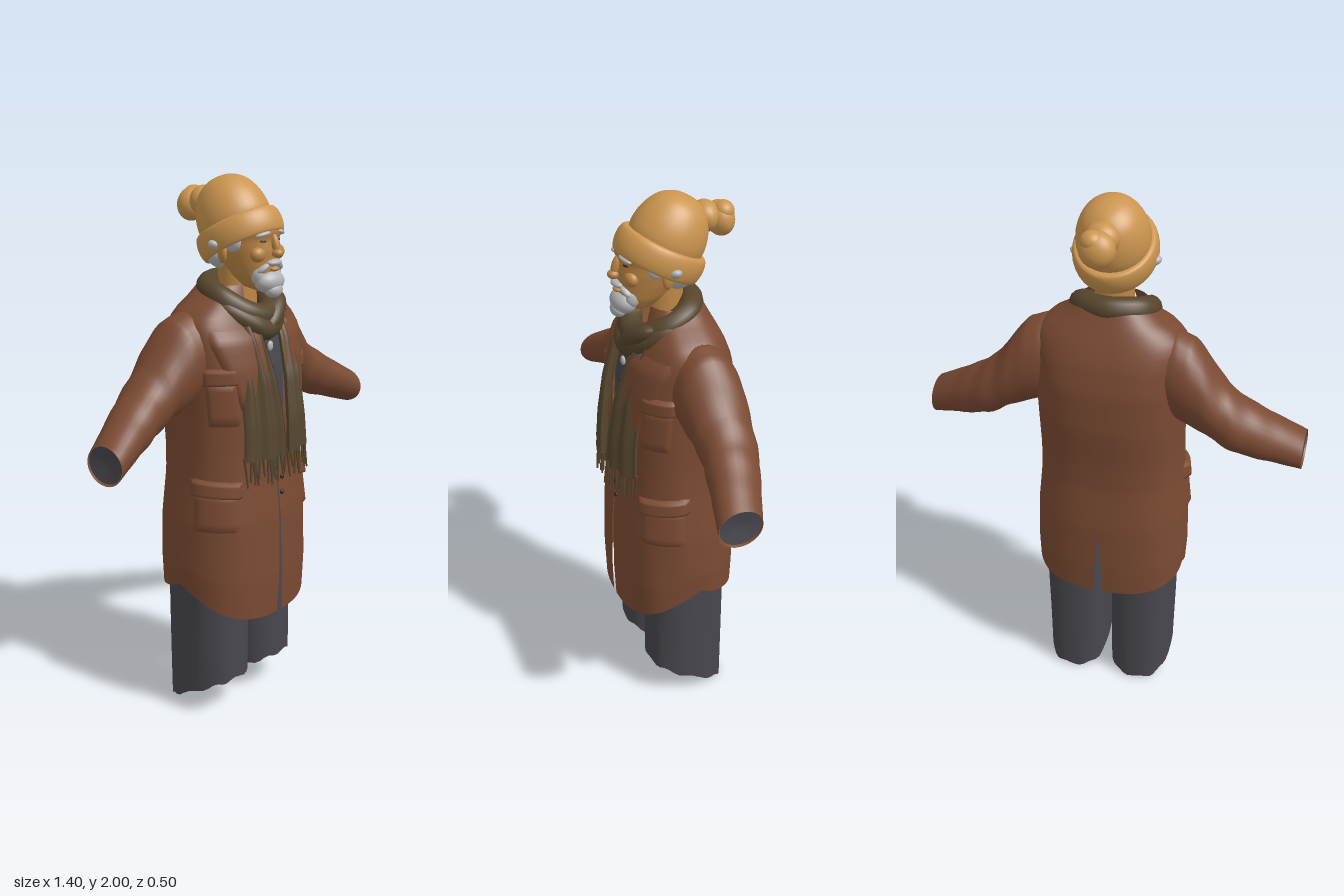
import * as THREE from 'three';
import { mergeVertices } from 'three/addons/utils/BufferGeometryUtils.js';

const mat = (name, color) => new THREE.MeshStandardMaterial({ name, color, side: THREE.DoubleSide });
const coatBrown = mat('coat brown', 0x7a4a32);
const scarfOlive = mat('scarf olive', 0x56452d);
const clothGrey = mat('cloth grey', 0x47474e);
const hatTan = mat('hat tan', 0xcb954f);
const skin = mat('skin', 0xbb8544);
const hairGrey = mat('hair grey', 0xb4b4b6);
const dark = mat('dark detail', 0x2c2622);

function add(parent, name, geometry, material, pos = [0, 0, 0], scale = [1, 1, 1], rot = [0, 0, 0]) {
  const m = new THREE.Mesh(geometry, material);
  m.name = name;
  m.position.set(...pos);
  m.scale.set(...scale);
  m.rotation.set(...rot);
  parent.add(m);
  return m;
}

// Smooth grid surface from a rule fn(u, v) -> [x, y, z]
function surface(nu, nv, fn) {
  const p = [], idx = [];
  for (let j = 0; j <= nv; j++) for (let i = 0; i <= nu; i++) p.push(...fn(i / nu, j / nv));
  for (let j = 0; j < nv; j++) for (let i = 0; i < nu; i++) {
    const a = j * (nu + 1) + i, b = a + nu + 1;
    idx.push(a, a + 1, b, b, a + 1, b + 1);
  }
  let g = new THREE.BufferGeometry();
  g.setAttribute('position', new THREE.Float32BufferAttribute(p, 3));
  g.setIndex(idx);
  g = mergeVertices(g, 1e-5);
  g.computeVertexNormals();
  return g;
}

// Interpolate a table of rows by their first column
function sample(rows, t) {
  let i = 0;
  while (i < rows.length - 2 && t > rows[i + 1][0]) i++;
  const a = rows[i], b = rows[i + 1];
  const k = Math.min(1, Math.max(0, (t - a[0]) / (b[0] - a[0])));
  return a.map((v, n) => v + (b[n] - v) * k);
}
const spow = (v, e) => Math.sign(v) * Math.abs(v) ** e;
const blob = new THREE.SphereGeometry(1, 24, 16);

// Coat sections: y, half width, front z, back z, front gap, back vent
const COAT = [
  [0.40, 0.283, 0.205, -0.235, 0.014, 0.020], [0.55, 0.287, 0.210, -0.238, 0.008, 0.013],
  [0.78, 0.283, 0.205, -0.235, 0.004, 0], [0.95, 0.265, 0.187, -0.220, 0.003, 0],
  [1.05, 0.262, 0.185, -0.222, 0.012, 0], [1.20, 0.264, 0.185, -0.235, 0.035, 0],
  [1.35, 0.270, 0.175, -0.232, 0.050, 0], [1.45, 0.274, 0.150, -0.210, 0.060, 0],
  [1.51, 0.265, 0.120, -0.185, 0.070, 0], [1.55, 0.235, 0.100, -0.165, 0.070, 0],
  [1.58, 0.180, 0.085, -0.150, 0.060, 0], [1.63, 0.120, 0.070, -0.125, 0.050, 0]];
const HEM = [[-0.24, 0.48], [-0.1, 0.515], [-0.04, 0.54], [0.13, 0.445], [0.21, 0.40]];
const E = 0.78;

// Point on one coat half: u runs from front centre (0) to back centre (1)
function coatPoint(s, u, y, off = 0) {
  const [, w, zf, zb, gf, gb] = sample(COAT, y);
  const a0 = Math.asin((gf / w) ** (1 / E)), a1 = Math.PI - Math.asin((gb / w) ** (1 / E));
  const a = a0 + (a1 - a0) * u;
  const fold = 1 + 0.008 * Math.sin(a * 7 + y * 5) * Math.sin(a);
  const x = (w * fold + off) * spow(Math.sin(a), E);
  const z = (zf + zb) / 2 + ((zf - zb) / 2 + off) * spow(Math.cos(a), E);
  const drop = Math.max(0, 1 - (y - 0.4) / 0.3);
  return [s * x, y + (sample(HEM, z)[1] - 0.4) * drop, z];
}

// Raised cloth panel lying on the coat
const panel = (s, u0, u1, y0, y1, off, slant = 0) => surface(10, 8, (u, v) => {
  const edge = u === 0 || u === 1 || v === 0 || v === 1;
  return coatPoint(s, u0 + (u1 - u0) * u, y0 + (y1 - y0) * v + slant * u, edge ? -0.004 : off);
});

// Sleeve sections: x, centre y, half height, centre z, half depth
const SLEEVE = [
  [0.16, 1.41, 0.130, -0.04, 0.105], [0.24, 1.385, 0.163, -0.048, 0.118], [0.30, 1.362, 0.165, -0.055, 0.118],
  [0.36, 1.315, 0.137, -0.06, 0.110], [0.42, 1.255, 0.115, -0.065, 0.102], [0.50, 1.207, 0.100, -0.052, 0.098],
  [0.60, 1.160, 0.083, -0.022, 0.088], [0.70, 1.113, 0.068, 0.010, 0.080]];
function sleevePoint(s, u, x, k = 1) {
  const [, cy, h, cz, d] = sample(SLEEVE, x);
  const a = u * Math.PI * 2;
  const f = k * (1 + 0.03 * Math.sin(x * 62 + 2 * Math.sin(a)) * Math.max(0, 1 - Math.abs(x - 0.45) / 0.22));
  return [s * x, cy + h * f * Math.cos(a), cz + d * f * Math.sin(a)];
}

function buildCoat(root) {
  const coat = new THREE.Group();
  coat.name = 'coat';
  root.add(coat);
  for (const s of [-1, 1]) {
    add(coat, 'coatHalf', surface(40, 50, (u, v) => coatPoint(s, u, 0.4 + 1.23 * v)), coatBrown);
    add(coat, 'sleeve', surface(28, 40, (u, v) => sleevePoint(s, u, 0.16 + 0.54 * v)), coatBrown);
    add(coat, 'sleeveLining', surface(28, 3, (u, v) => sleevePoint(s, u, 0.694 - 0.012 * v, 0.93 * (1 - v))), clothGrey);
    add(coat, 'chestPocket', panel(s, 0.17, 0.37, 1.15, 1.33, 0.012), coatBrown);
    add(coat, 'chestPocketFlap', panel(s, 0.16, 0.38, 1.30, 1.365, 0.018), coatBrown);
    add(coat, 'hipPocket', panel(s, 0.20, 0.47, 0.76, 0.92, 0.009), coatBrown);
    add(coat, 'hipPocketFlap', panel(s, 0.18, 0.49, 0.885, 0.95, 0.02, 0.012), coatBrown);
    // Lapel, widening upward to its notch
    add(coat, 'lapel', surface(8, 16, (u, v) => {
      const edge = u === 1 || v === 0 || v === 1;
      return coatPoint(s, u * (0.08 + 0.24 * v), 1.06 + 0.43 * v, edge ? 0 : 0.012);
    }), coatBrown);
  }
  for (const y of [0.93, 0.87]) add(coat, 'coatButton', blob, dark, [0.018, y, 0.198], [0.009, 0.009, 0.006]);
}

function buildVestAndTrousers(root) {
  add(root, 'vest', surface(40, 20, (u, v) => {
    const y = 0.85 + 0.7 * v, [, w, zf, zb] = sample(COAT, y), a = u * Math.PI * 2;
    return [0.93 * w * Math.sin(a), y, (zf + zb) / 2 + ((zf - zb) / 2 - 0.014) * Math.cos(a)];
  }), clothGrey);
  for (const y of [1.34, 1.26, 1.18]) add(root, 'vestButton', blob, dark, [0, y, sample(COAT, y)[2] - 0.012], [0.006, 0.006, 0.004]);
  add(root, 'collarKnot', blob, hairGrey, [0, 1.415, 0.152], [0.014, 0.018, 0.008]);
  // Trouser legs, cut on a slant at the hem
  for (const s of [-1, 1]) add(root, 'trouserLeg', surface(40, 24, (u, v) => {
    const a = u * Math.PI * 2, c = spow(Math.cos(a), 0.8), sn = spow(Math.sin(a), 0.8);
    const z = -0.03 + 0.15 * c;
    const hem = Math.max(0, 0.005 + (z + 0.18) * 0.48 + 0.006 * Math.sin(a * 9));
    const fold = 1 + 0.02 * Math.sin(a * 5 + v * 4);
    const half = 0.118 + 0.012 * v;
    return [s * (0.13 + half * sn * fold), hem + (0.9 - hem) * v, z];
  }), clothGrey);
}

function buildScarf(root) {
  const scarf = new THREE.Group();
  scarf.name = 'scarf';
  root.add(scarf);
  // Wraps around the neck, the second one drooping and crossing in front
  const wrap = (pts, r, flat) => {
    const c = new THREE.CatmullRomCurve3(pts.map(p => new THREE.Vector3(...p)), true);
    const g = new THREE.TubeGeometry(c, 80, r, 14, true);
    add(scarf, 'scarfWrap', g, scarfOlive, [0, 0, 0], flat);
  };
  wrap([[0, 1.625, -0.095], [0.10, 1.61, -0.05], [0.118, 1.575, 0.03], [0.07, 1.535, 0.095],
    [0, 1.52, 0.115], [-0.07, 1.54, 0.095], [-0.118, 1.585, 0.03], [-0.10, 1.615, -0.05]], 0.043, [1, 1, 1]);
  wrap([[0, 1.59, -0.085], [0.11, 1.575, -0.03], [0.125, 1.55, 0.05], [0.06, 1.495, 0.115],
    [-0.01, 1.475, 0.13], [-0.06, 1.50, 0.115], [-0.12, 1.55, 0.05], [-0.11, 1.575, -0.03]], 0.042, [1, 1, 1]);
  add(scarf, 'scarfCrossFold', blob, scarfOlive, [0.055, 1.525, 0.122], [0.10, 0.036, 0.042], [0, 0.35, 0.6]);

  // Hanging tails: y, inner x, outer x, front z
  const TAIL = [[0.95, 0.012, 0.195, 0.238], [1.05, 0.014, 0.185, 0.232], [1.15, 0.02, 0.178, 0.226],
    [1.3, 0.035, 0.168, 0.204], [1.45, 0.055, 0.165, 0.160], [1.58, 0.07, 0.15, 0.088]];
  const tailPoint = (s, k, y, back) => {
    const [, x0, x1, z] = sample(TAIL, y);
    const fold = 0.009 * Math.sin(k * 15 + s + y * 2);
    return [s * (x0 + (x1 - x0) * k), y, z - 0.045 * k * k + fold - back];
  };
  for (const s of [-1, 1]) {
    add(scarf, 'scarfTail', surface(48, 24, (u, v) => {
      const front = u < 0.5, k = front ? u * 2 : 2 - u * 2;
      return tailPoint(s, k, 1.03 + 0.55 * v, front ? 0 : 0.028 * Math.sin(Math.PI * k) ** 0.5);
    }), scarfOlive);
    // Fringe strands
    for (let i = 0; i < 15; i++) {
      const k = (i + 0.5) / 15, len = 0.095 + 0.018 * Math.sin(i * 4.7 + s);
      const p = tailPoint(s, k, 1.045, 0.008);
      add(scarf, 'fringeStrand', new THREE.CylinderGeometry(0.0055, 0.0035, len, 6), scarfOlive,
        [p[0], p[1] - len / 2, p[2] + 0.004], [1, 1, 1], [-0.08, 0, 0.12 * Math.sin(i * 2.9 + s * 2)]);
    }
  }
}

function buildHead(root) {
  const head = new THREE.Group();
  head.name = 'head';
  root.add(head);
  // Skull and jaw: y, half width, front z, back z
  const SKULL = [[1.605, 0.004, 0.11, 0.10], [1.625, 0.05, 0.15, 0.04], [1.665, 0.075, 0.166, -0.01],
    [1.71, 0.09, 0.166, -0.05], [1.75, 0.099, 0.168, -0.075], [1.79, 0.104, 0.162, -0.08],
    [1.82, 0.108, 0.171, -0.08], [1.88, 0.1, 0.15, -0.08]];
  add(head, 'face', surface(36, 30, (u, v) => {
    const y = 1.605 + 0.275 * v, [, w, zf, zb] = sample(SKULL, y), a = u * Math.PI * 2;
    return [w * spow(Math.sin(a), 0.9), y, (zf + zb) / 2 + (zf - zb) / 2 * Math.cos(a)];
  }), skin);
  add(head, 'neck', new THREE.CylinderGeometry(0.065, 0.075, 0.24, 24), skin, [0, 1.62, 0]);
  add(head, 'noseBridge', blob, skin, [0, 1.775, 0.17], [0.014, 0.04, 0.016], [-0.3, 0, 0]);
  add(head, 'noseTip', blob, skin, [0, 1.745, 0.18], [0.02, 0.016, 0.021]);
  add(head, 'moustache', blob, hairGrey, [0, 1.712, 0.166], [0.036, 0.013, 0.022]);
  add(head, 'mouth', blob, skin, [0, 1.69, 0.166], [0.022, 0.009, 0.016]);
  add(head, 'beard', blob, hairGrey, [0, 1.645, 0.145], [0.064, 0.042, 0.046]);
  add(head, 'beardTip', blob, hairGrey, [0, 1.617, 0.165], [0.038, 0.028, 0.028]);
  add(head, 'backHair', blob, hairGrey, [0, 1.735, -0.035], [0.108, 0.065, 0.068]);
  for (const s of [-1, 1]) {
    add(head, 'moustacheEnd', blob, hairGrey, [s * 0.042, 1.695, 0.15], [0.028, 0.012, 0.018], [0, s * 0.5, -s * 0.6]);
    add(head, 'beardSide', blob, hairGrey, [s * 0.052, 1.668, 0.13], [0.017, 0.03, 0.025]);
    add(head, 'cheek', blob, skin, [s * 0.052, 1.742, 0.135], [0.034, 0.028, 0.026]);
    add(head, 'eyebrow', blob, hairGrey, [s * 0.05, 1.812, 0.155], [0.03, 0.009, 0.012], [0, s * 0.4, -s * 0.2]);
    add(head, 'eye', blob, dark, [s * 0.043, 1.787, 0.149], [0.014, 0.005, 0.007], [0, s * 0.4, 0]);
    add(head, 'ear', blob, skin, [s * 0.112, 1.745, 0.025], [0.014, 0.036, 0.024], [0, s * 0.4, 0]);
    add(head, 'templeHair', blob, hairGrey, [s * 0.103, 1.785, 0.062], [0.018, 0.036, 0.036]);
    add(head, 'sideTuft', blob, hairGrey, [s * 0.13, 1.772, 0.01], [0.032, 0.018, 0.024], [0, 0, s * 0.3]);
  }
}

function buildHat(root) {
  const hat = new THREE.Group();
  hat.name = 'hat';
  hat.position.set(0, 1.755, 0.035);
  hat.rotation.x = -0.48;
  root.add(hat);
  const lathe = pts => new THREE.LatheGeometry(
    new THREE.SplineCurve(pts.map(p => new THREE.Vector2(...p))).getPoints(30), 40);
  add(hat, 'hatBrim', lathe([[0.116, 0.01], [0.136, 0], [0.146, 0.025], [0.147, 0.06], [0.138, 0.088], [0.118, 0.092]]),
    hatTan, [0, 0, 0], [1, 1, 1.12]);
  add(hat, 'hatCrown', lathe([[0.122, 0.07], [0.127, 0.11], [0.119, 0.16], [0.1, 0.205], [0.076, 0.235], [0.04, 0.256], [0, 0.262]]),
    hatTan, [0, 0, 0], [1, 1, 1.08]);
  // Bobble on the back of the crown
  add(root, 'bobbleNeck', blob, hatTan, [0, 1.905, -0.15], [0.06, 0.055, 0.05]);
  add(root, 'bobble', blob, hatTan, [0, 1.89, -0.207], [0.062, 0.062, 0.05], [0.2, 0, 0]);
  add(root, 'bobbleFold', blob, hatTan, [0.015, 1.92, -0.212], [0.04, 0.036, 0.038]);
}

export function createModel() {
  const root = new THREE.Group();
  root.name = 'oldManInCoat';
  buildVestAndTrousers(root);
  buildCoat(root);
  buildScarf(root);
  buildHead(root);
  buildHat(root);
  return root;
}
